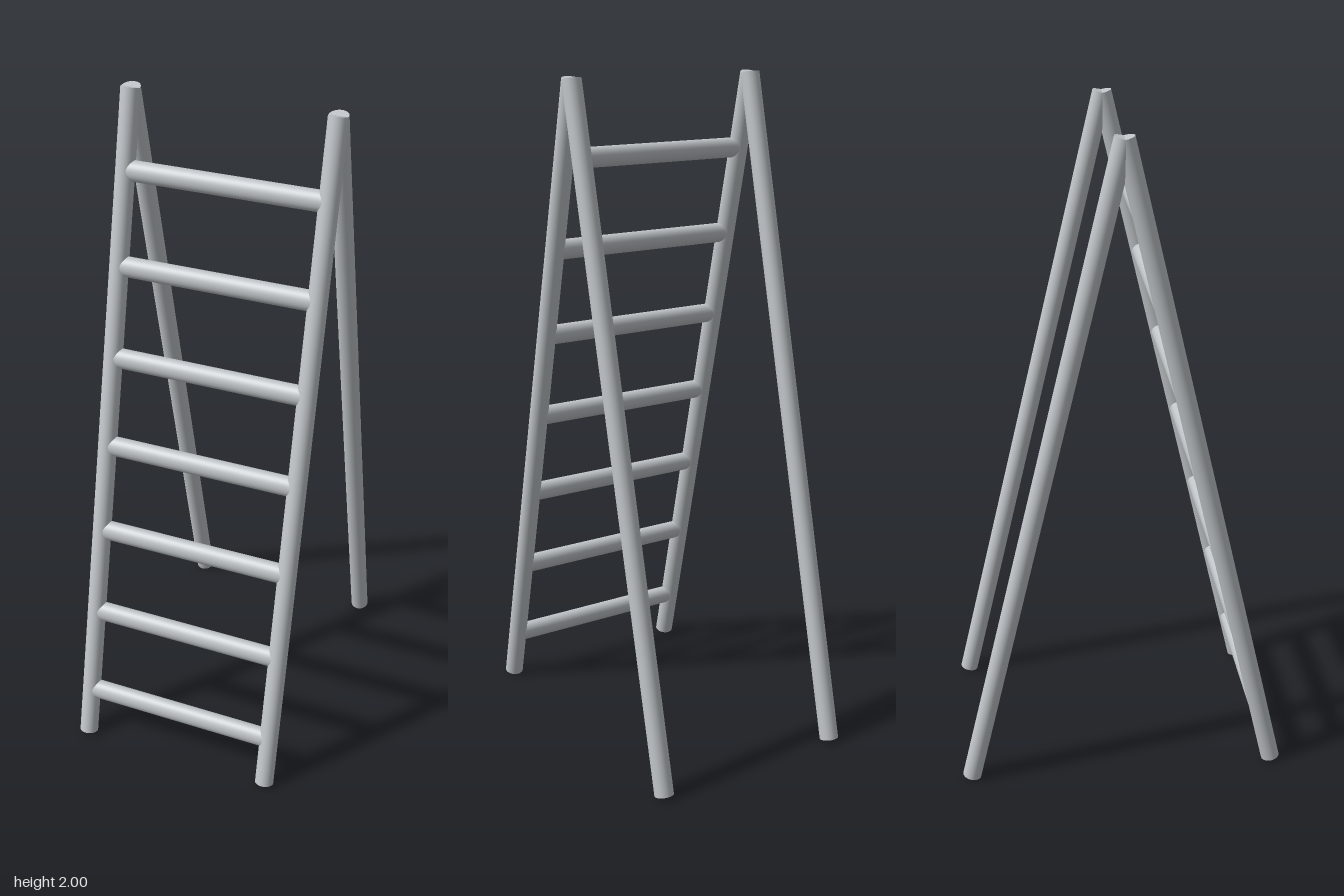
import * as THREE from 'three';

export function createModel() {
  const model = new THREE.Group();
  model.name = 'stepLadder';
  const metal = new THREE.MeshStandardMaterial({ color: 0xc0c5c9 });
  metal.name = 'lightGreyMetal';

  const railX = 0.303, railRadius = 0.0285;
  const topY = 1.993, bottomY = 0.007, footZ = 0.472;
  const tilt = Math.atan2(footZ, topY - bottomY);
  const railLength = Math.hypot(footZ, topY - bottomY);

  // Rails: a leaning pair at the front and a mirrored pair behind
  const railGeometry = new THREE.CylinderGeometry(railRadius, railRadius, railLength, 32);
  for (const [sideName, sx] of [['left', 1], ['right', -1]]) {
    for (const [endName, sz] of [['Front', 1], ['Back', -1]]) {
      const rail = new THREE.Mesh(railGeometry, metal);
      rail.name = `${sideName}${endName}Rail`;
      rail.position.set(sx * railX, (topY + bottomY) / 2, sz * footZ / 2);
      rail.rotation.x = -sz * tilt;
      model.add(rail);
    }
  }

  // Rungs: slightly oval bars, longer along the slope, between the front rails
  const rungGeometry = new THREE.CylinderGeometry(1, 1, railX * 2, 32);
  rungGeometry.rotateZ(Math.PI / 2);
  rungGeometry.scale(1, 0.0305, 0.0252);
  rungGeometry.rotateX(-tilt);
  const rungCount = 7, lowest = 0.157, highest = 1.769;
  for (let i = 0; i < rungCount; i++) {
    const y = lowest + (highest - lowest) * i / (rungCount - 1);
    const rung = new THREE.Mesh(rungGeometry, metal);
    rung.name = `rung${i + 1}`;
    rung.position.set(0, y, (topY - y) * Math.tan(tilt));
    model.add(rung);
  }
  return model;
}
